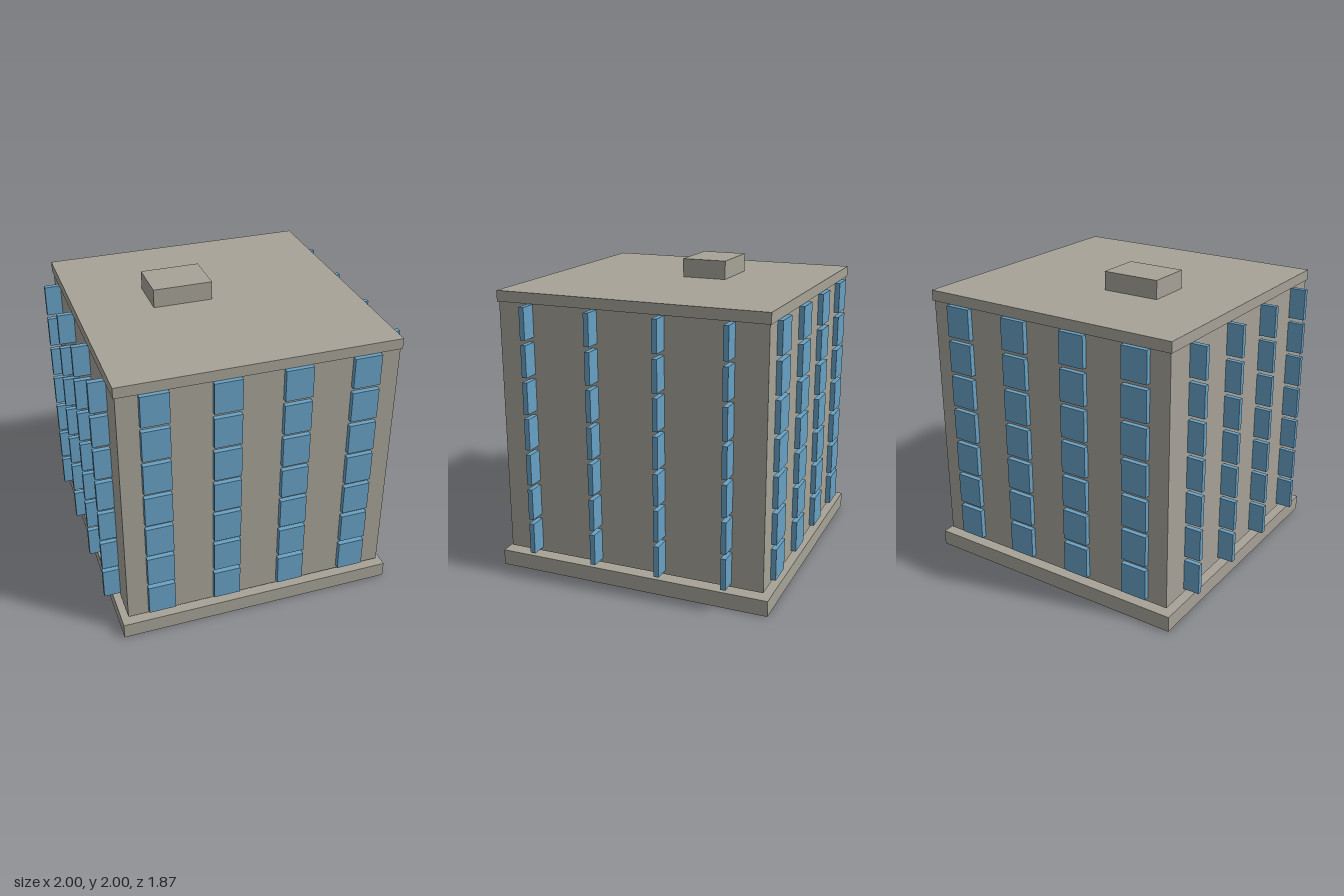
import * as THREE from 'three';

export function createModel() {
  const model = new THREE.Group();
  model.name = 'apartmentBlock';

  const concrete = new THREE.MeshStandardMaterial({ color: 0xa6a297 });
  concrete.name = 'concrete';
  const glass = new THREE.MeshStandardMaterial({ color: 0x67a0c3 });
  glass.name = 'blueGlass';

  // Box given by its size, centre x, bottom y and centre z
  function addBox(parent, name, [w, h, d], [x, bottom, z], material) {
    const mesh = new THREE.Mesh(new THREE.BoxGeometry(w, h, d), material);
    mesh.position.set(x, bottom + h / 2, z);
    mesh.name = name;
    parent.add(mesh);
    return mesh;
  }

  // Base slab, tower, roof slab and rooftop plant room
  addBox(model, 'baseSlab', [1.87, 0.104, 1.87], [0, 0, 0], concrete);
  addBox(model, 'tower', [1.784, 1.676, 1.784], [0, 0.131, 0], concrete);
  addBox(model, 'roofSlab', [1.804, 0.07, 1.804], [0, 1.807, 0], concrete);
  addBox(model, 'plantRoom', [0.392, 0.123, 0.302], [-0.217, 1.877, -0.132], concrete);

  // Seven floors of four windows on each wall; side windows stand out as fins
  const windowSize = [0.178, 0.208, 0.034];
  const columns = [-0.668, -0.223, 0.223, 0.668];
  const wall = 0.911;
  const walls = { front: [0, 1], back: [0, -1], left: [1, 0], right: [-1, 0] };

  for (const [side, [nx, nz]] of Object.entries(walls)) {
    const group = new THREE.Group();
    group.name = side + 'Windows';
    for (let floor = 0; floor < 7; floor++) {
      const bottom = 0.158 + floor * 0.2397;
      for (const c of columns) {
        const x = nx ? nx * wall : c;
        const z = nz ? nz * wall : c;
        addBox(group, side + 'Window', windowSize, [x, bottom, z], glass);
      }
    }
    model.add(group);
  }

  return model;
}
